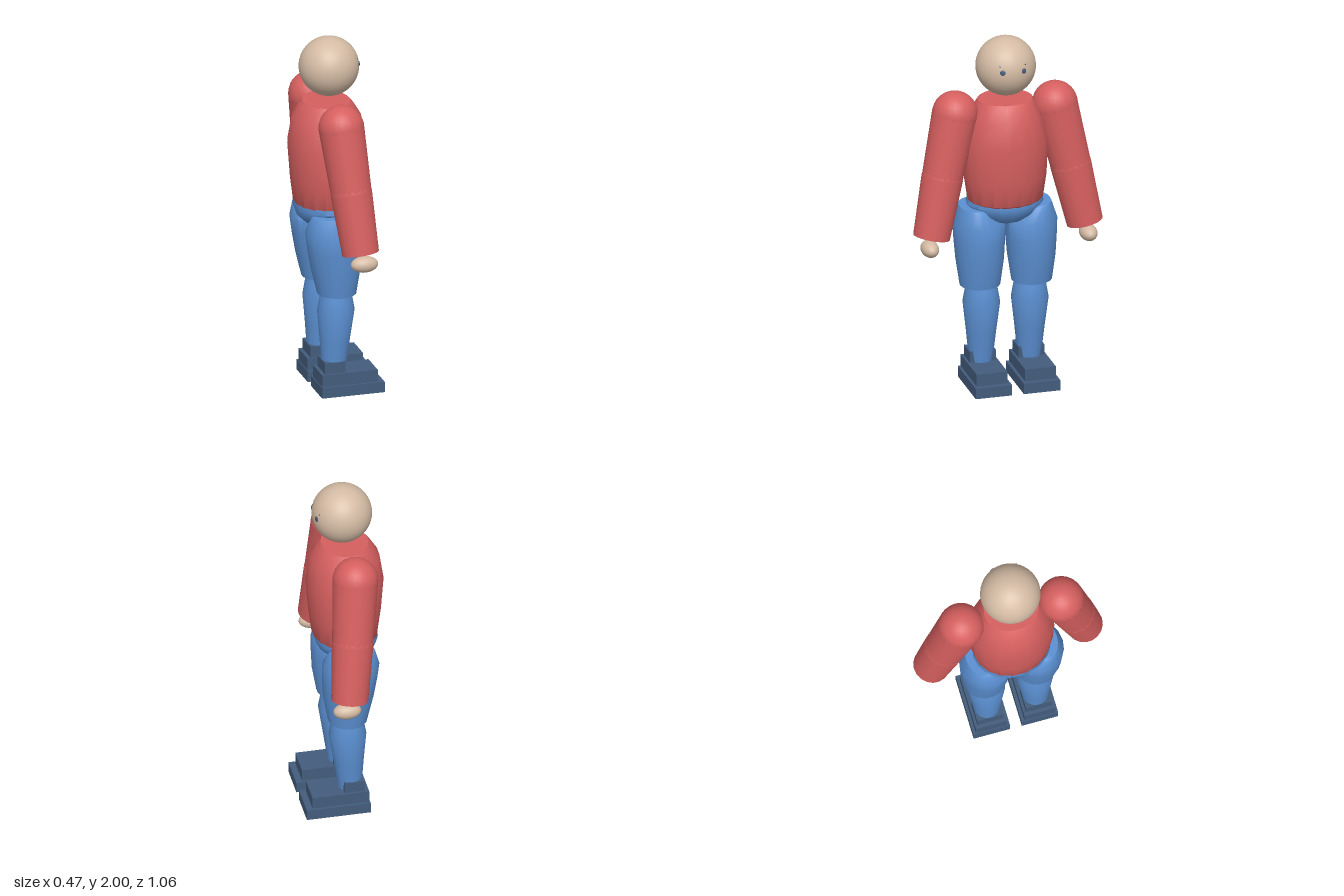
import * as THREE from 'three';
import { toCreasedNormals } from 'three/addons/utils/BufferGeometryUtils.js';

const mat = (name, color) => {
  const m = new THREE.MeshStandardMaterial({ color });
  m.name = name;
  return m;
};

// Closed body through elliptical rings [y, centreX, centreZ, radiusX, radiusZ], lowest first
function loft(rings, sides = 16) {
  const n = rings.length - 1;
  const g = new THREE.CylinderGeometry(1, 1, n, sides, n);
  const p = g.attributes.position;
  for (let i = 0; i < p.count; i++) {
    const [y, cx, cz, rx, rz] = rings[Math.round(p.getY(i) + n / 2)];
    p.setXYZ(i, cx + p.getX(i) * rx, y, cz + p.getZ(i) * rz);
  }
  return toCreasedNormals(g, 0.75);
}

// Tapered round limb section between two points
function limb(a, b, ra, rb, sides = 18) {
  const dir = b.clone().sub(a);
  const g = new THREE.CylinderGeometry(rb, ra, dir.length(), sides);
  g.applyQuaternion(new THREE.Quaternion().setFromUnitVectors(
    new THREE.Vector3(0, 1, 0), dir.clone().normalize()));
  const c = a.clone().add(b).multiplyScalar(0.5);
  return g.translate(c.x, c.y, c.z);
}

const ball = (x, y, z, rx, ry, rz, w = 24, h = 16) =>
  new THREE.SphereGeometry(1, w, h).scale(rx, ry, rz).translate(x, y, z);

// Box given by its limits
const block = (x0, x1, y0, y1, z0, z1) =>
  new THREE.BoxGeometry(x1 - x0, y1 - y0, z1 - z0)
    .translate((x0 + x1) / 2, (y0 + y1) / 2, (z0 + z1) / 2);

export function createModel() {
  const skin = mat('skin', 0xd4bba4);
  const red = mat('red sweater', 0xd65f5f);
  const blue = mat('blue trousers', 0x5b90d2);
  const navy = mat('navy shoes', 0x435c7c);

  const model = new THREE.Group();
  model.name = 'figure';
  const add = (parent, name, geometry, material) => {
    const m = new THREE.Mesh(geometry, material);
    m.name = name;
    parent.add(m);
    return m;
  };

  // Head
  const headCentre = new THREE.Vector3(-0.01, 1.835, 0);
  const headRadius = 0.165;
  add(model, 'head', ball(-0.01, 1.835, 0, headRadius, headRadius, headRadius, 40, 28), skin);

  // Torso and pelvis
  add(model, 'torso', loft([
    [1.03, -0.025, 0, 0.14, 0.17],
    [1.065, -0.025, 0, 0.18, 0.21],
    [1.2, -0.025, 0, 0.197, 0.23],
    [1.4, -0.025, 0, 0.212, 0.238],
    [1.55, -0.025, 0, 0.19, 0.195],
    [1.62, -0.025, 0, 0.148, 0.163],
    [1.64, -0.025, 0, 0.13, 0.152],
  ], 18), red);
  add(model, 'pelvis', loft([
    [0.92, -0.03, 0, 0.05, 0.05],
    [0.95, -0.03, 0, 0.12, 0.12],
    [0.99, -0.03, 0, 0.16, 0.18],
    [1.04, -0.03, 0, 0.175, 0.215],
    [1.07, -0.03, 0, 0.17, 0.21],
  ], 20), blue);

  for (const s of [1, -1]) {
    const side = s > 0 ? 'right' : 'left';

    // Face details lie on the head surface
    const onFace = (name, geometry, y, z) => {
      const dy = y - headCentre.y;
      const n = new THREE.Vector3(
        Math.sqrt(headRadius ** 2 - dy * dy - z * z), dy, z).normalize();
      const m = add(model, name, geometry, navy);
      m.quaternion.setFromUnitVectors(new THREE.Vector3(0, 0, 1), n);
      m.position.copy(headCentre).addScaledVector(n, headRadius);
    };
    onFace(side + 'Eye', new THREE.SphereGeometry(0.015, 16, 10).scale(1, 1, 0.3), 1.852, s * 0.06);
    onFace(side + 'Brow', new THREE.SphereGeometry(0.006, 8, 6).scale(1, 0.5, 0.4), 1.885, s * 0.072);

    // Arm: shoulder, two sleeve sections, hand
    const arm = new THREE.Group();
    arm.name = side + 'Arm';
    model.add(arm);
    const shoulder = new THREE.Vector3(-0.025, 1.578, s * 0.283);
    const elbow = new THREE.Vector3(0.007, 1.225, s * 0.363);
    const wrist = new THREE.Vector3(0.039, 0.895, s * 0.433);
    add(arm, 'shoulder', ball(...shoulder, 0.125, 0.125, 0.125), red);
    add(arm, 'upperSleeve', limb(elbow, shoulder, 0.112, 0.125), red);
    add(arm, 'elbow', ball(...elbow, 0.113, 0.113, 0.113), red);
    add(arm, 'lowerSleeve', limb(wrist, elbow, 0.101, 0.114), red);
    add(arm, 'hand', ball(0.056, 0.835, s * 0.448, 0.077, 0.045, 0.048), skin);

    // Leg: thigh and shin
    const leg = new THREE.Group();
    leg.name = side + 'Leg';
    model.add(leg);
    const z = s * 0.146;
    add(leg, 'thigh', loft([
      [0.575, -0.01, z, 0.108, 0.112],
      [0.72, -0.015, z, 0.138, 0.132],
      [0.83, -0.022, z, 0.15, 0.14],
      [0.93, -0.028, z, 0.157, 0.145],
      [1.02, -0.03, s * 0.172, 0.13, 0.088],
      [1.03, -0.03, s * 0.178, 0.12, 0.078],
    ], 18), blue);
    add(leg, 'shin', loft([
      [0.12, -0.025, s * 0.137, 0.064, 0.064],
      [0.3, -0.018, s * 0.137, 0.083, 0.083],
      [0.47, -0.012, s * 0.137, 0.103, 0.103],
      [0.545, -0.012, s * 0.137, 0.09, 0.09],
      [0.58, -0.012, s * 0.137, 0.085, 0.085],
    ], 18), blue);

    // Shoe: stacked blocks with the toe toward +x
    const shoe = new THREE.Group();
    shoe.name = side + 'Shoe';
    model.add(shoe);
    const across = (a, b) => (s > 0 ? [a, b] : [-b, -a]);
    add(shoe, 'sole', block(-0.12, 0.235, 0, 0.06, ...across(0.033, 0.239)), navy);
    add(shoe, 'upper', block(-0.115, 0.2, 0.06, 0.128, ...across(0.05, 0.224)), navy);
    add(shoe, 'ankleCuff', block(-0.095, 0.02, 0.128, 0.19, ...across(0.064, 0.211)), navy);
  }
  return model;
}
